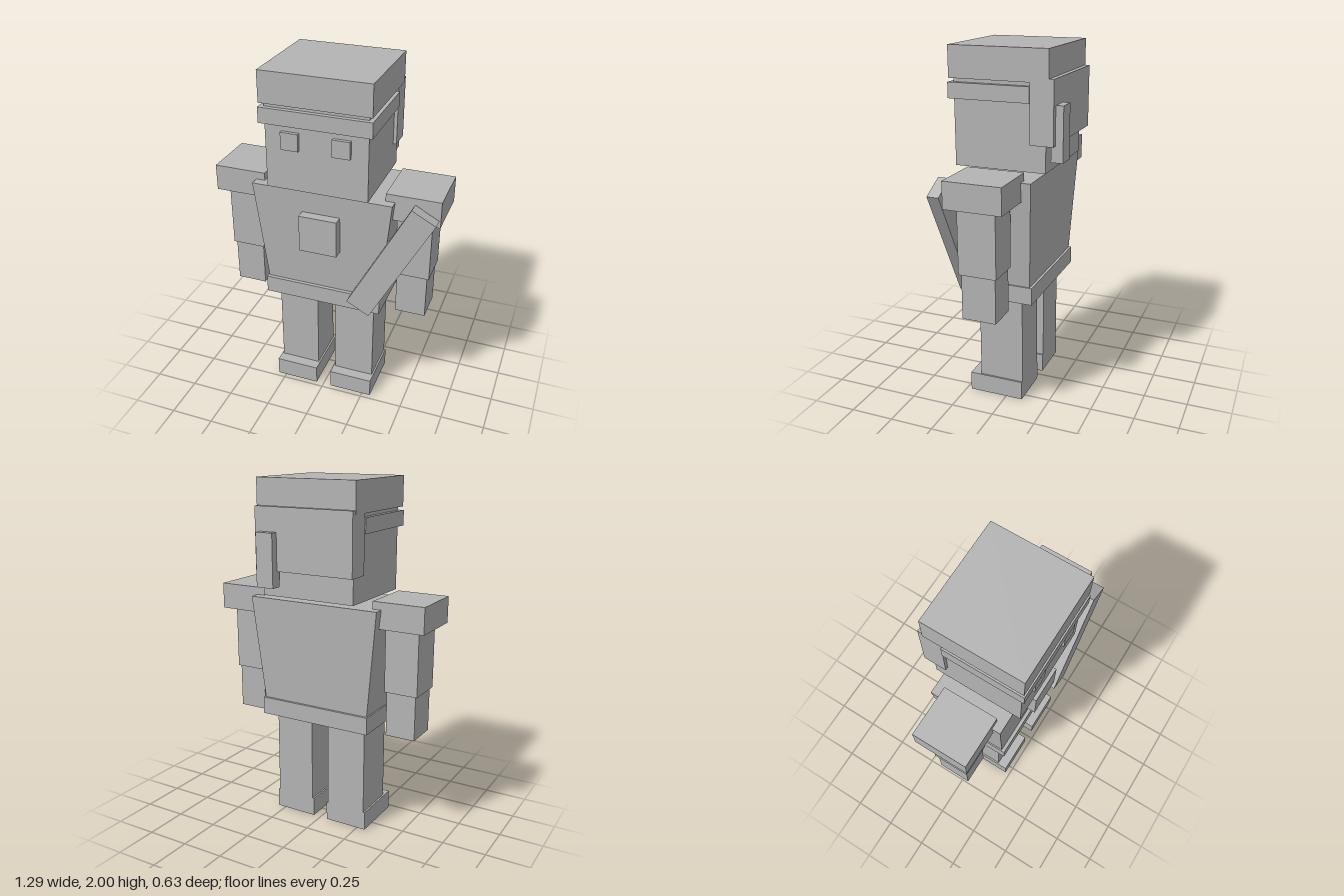
import * as THREE from 'three';

export function createModel() {
  const model = new THREE.Group();
  model.name = 'blockFigure';
  const grey = new THREE.MeshStandardMaterial({ color: 0xb4b4b4 });
  grey.name = 'plain grey';

  // Box given by its extents on each axis
  function box(name, [x0, x1], [y0, y1], [z0, z1]) {
    const mesh = new THREE.Mesh(new THREE.BoxGeometry(x1 - x0, y1 - y0, z1 - z0), grey);
    mesh.position.set((x0 + x1) / 2, (y0 + y1) / 2, (z0 + z1) / 2);
    mesh.name = name;
    model.add(mesh);
    return mesh;
  }

  // Limbs: the extents are for the left (+x) side and mirrored to the right
  for (const [side, s] of [['left', 1], ['right', -1]]) {
    const pair = (part, x, y, z) =>
      box(side + part, s > 0 ? x : [-x[1], -x[0]], y, z);
    pair('Foot', [0.045, 0.3], [0, 0.11], [-0.098, 0.222]);
    pair('Leg', [0.055, 0.29], [0.11, 0.64], [-0.098, 0.16]);
    pair('Forearm', [0.408, 0.58], [0.607, 0.865], [-0.065, 0.127]);
    pair('UpperArm', [0.398, 0.592], [0.862, 1.24], [-0.075, 0.138]);
    pair('Shoulder', [0.345, 0.643], [1.228, 1.376], [-0.132, 0.19]);
    pair('Eye', [0.092, 0.188], [1.592, 1.688], [0.27, 0.31]);
  }

  // Torso narrows towards the waist
  const torso = box('torso', [-0.397, 0.397], [0.7, 1.333], [-0.187, 0.241]);
  const pos = torso.geometry.attributes.position;
  for (let i = 0; i < pos.count; i++) {
    if (pos.getY(i) < 0) {
      pos.setX(i, pos.getX(i) * 0.834);
      pos.setZ(i, pos.getZ(i) * 0.86);
    }
  }
  torso.geometry.computeVertexNormals();

  box('belt', [-0.342, 0.342], [0.63, 0.73], [-0.173, 0.233]);
  box('chestPlate', [-0.108, 0.108], [0.992, 1.207], [0.19, 0.29]);

  // Head, hair and headband
  box('head', [-0.28, 0.28], [1.36, 1.84], [-0.225, 0.29]);
  box('topHair', [-0.302, 0.302], [1.83, 2], [-0.246, 0.31]);
  box('backHair', [-0.299, 0.299], [1.508, 1.852], [-0.272, -0.143]);
  box('headband', [-0.305, 0.305], [1.724, 1.809], [-0.143, 0.315]);
  box('headbandTail', [0.162, 0.267], [1.42, 1.718], [-0.314, -0.248]);

  // Slanted blade held across the left side
  const blade = box('blade', [0.328, 0.476], [0.631, 1.361], [0.213, 0.279]);
  blade.rotation.z = -0.49;

  return model;
}
